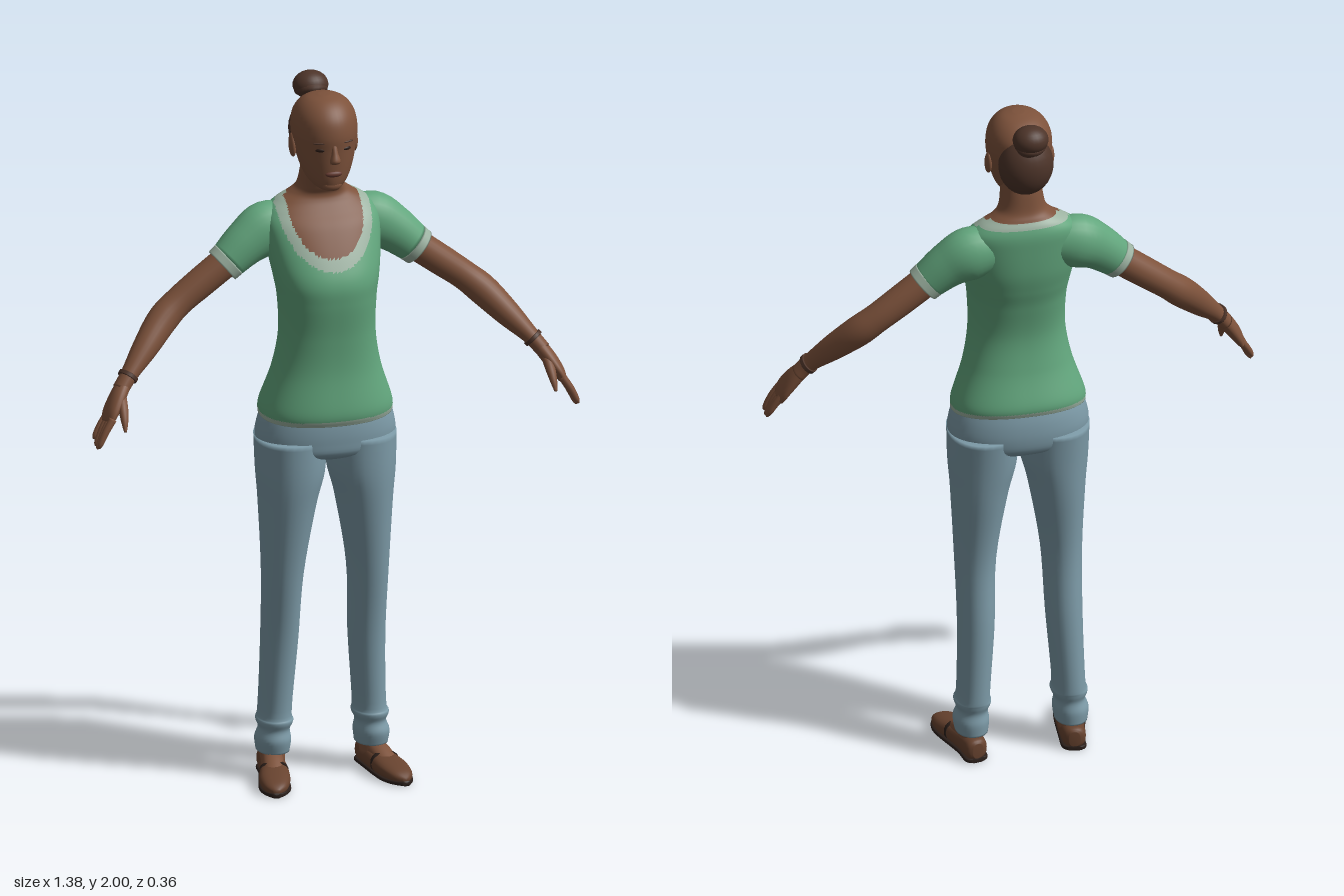
import * as THREE from 'three';

const mat = (name, color) => {
  const m = new THREE.MeshStandardMaterial({ color });
  m.name = name;
  return m;
};
const skin = mat('skin', 0x7d523b);
const shirt = mat('shirt green', 0x62a67d);
const trim = mat('shirt trim', 0x9db3a2);
const denim = mat('trousers blue', 0x7d9ba8);
const hair = mat('hair', 0x4d3429);
const leather = mat('shoe leather', 0x68432f);
const sole = mat('sole', 0x2c201b);
const eyeDark = mat('eye dark', 0x2a1a14);
const lip = mat('lips', 0x653a30);

const Y = new THREE.Vector3(0, 1, 0), Z = new THREE.Vector3(0, 0, 1);

// Uniform Catmull-Rom through rows of numbers
function smooth(rows, sub) {
  const out = [], last = rows.length - 1;
  for (let i = 0; i < last; i++) {
    const [a, b, c, d] = [rows[Math.max(i - 1, 0)], rows[i], rows[i + 1], rows[Math.min(i + 2, last)]];
    for (let k = 0; k < sub; k++) {
      const t = k / sub;
      out.push(b.map((v, j) => {
        const cubic = 3 * (v - c[j]) + d[j] - a[j];
        const square = 2 * a[j] - 5 * v + 4 * c[j] - d[j];
        return v + 0.5 * t * (c[j] - a[j] + t * (square + t * cubic));
      }));
    }
  }
  out.push(rows[last]);
  return out;
}

// Rounded body swept through rows [x, y, z, sideRadius, refRadius]
function sweep(name, mats, rows, { axis, ref = Z, seg = 24, sub = 5, power = 2, paint, tweak } = {}) {
  const path = smooth(rows, sub), pos = [], p = new THREE.Vector3();
  const at = i => new THREE.Vector3(...path[Math.max(0, Math.min(path.length - 1, i))].slice(0, 3));
  const bend = v => Math.sign(v) * Math.abs(v) ** (2 / power);
  path.forEach(([x, y, z, ra, rb], i) => {
    const t = axis ? axis.clone().normalize() : at(i + 1).sub(at(i - 1)).normalize();
    const b = ref.clone().addScaledVector(t, -ref.dot(t)).normalize();
    const a = t.clone().cross(b);
    for (let j = 0; j < seg; j++) {
      const w = j / seg * Math.PI * 2;
      p.set(x, y, z).addScaledVector(a, bend(Math.cos(w)) * Math.max(ra, 0.001))
        .addScaledVector(b, bend(Math.sin(w)) * Math.max(rb, 0.001));
      if (tweak) tweak(p);
      pos.push(p.x, p.y, p.z);
    }
  });
  const end = path.length - 1, c0 = path.length * seg;
  pos.push(...path[0].slice(0, 3), ...path[end].slice(0, 3));
  const list = Array.isArray(mats) ? mats : [mats];
  const buckets = list.map(() => []);
  const tri = (...ids) => {
    const mid = k => ids.reduce((s, q) => s + pos[q * 3 + k], 0) / 3;
    buckets[paint ? paint(mid(0), mid(1), mid(2)) : 0].push(...ids);
  };
  for (let j = 0; j < seg; j++) {
    const k = (j + 1) % seg;
    for (let i = 0; i < end; i++) {
      const q = i * seg;
      tri(q + j, q + seg + j, q + k);
      tri(q + k, q + seg + j, q + seg + k);
    }
    tri(c0, j, k);
    tri(c0 + 1, end * seg + k, end * seg + j);
  }
  const g = new THREE.BufferGeometry();
  g.setAttribute('position', new THREE.Float32BufferAttribute(pos, 3));
  g.setIndex(buckets.flat());
  g.computeVertexNormals();
  if (Array.isArray(mats)) {
    let start = 0;
    buckets.forEach((b, i) => { g.addGroup(start, b.length, i); start += b.length; });
  }
  const mesh = new THREE.Mesh(g, mats);
  mesh.name = name;
  return mesh;
}

// Upright rows [y, halfWidth, frontZ, backZ], listed from the bottom, to sweep rows
const upright = rows => rows.map(([y, w, f, b]) => [0, y, (f + b) / 2, w, (f - b) / 2]);

function ball(name, material, at, size) {
  const m = new THREE.Mesh(new THREE.SphereGeometry(1, 24, 16), material);
  m.name = name;
  m.position.set(...at);
  m.scale.set(...size);
  return m;
}

// Scoop neckline: 0 shirt, 1 trim, 2 bare skin
function neckline(x, y, z) {
  if (y < 1.078 - z * 0.1) return 1;
  if (z < -0.05) return y > 1.683 ? 2 : y > 1.664 ? 1 : 0;
  const s = Math.hypot(x / 0.105, Math.min(0, y - 1.65) / 0.12);
  return s < 1 ? 2 : s < 1.27 ? 1 : 0;
}

export function createModel() {
  const model = new THREE.Group();
  model.name = 'woman';

  // Torso with shirt, chest and neck
  model.add(sweep('torso', [shirt, trim, skin], upright([
    [1.065, 0.188, 0.13, -0.115], [1.1, 0.185, 0.138, -0.118], [1.2, 0.152, 0.125, -0.09],
    [1.3, 0.135, 0.128, -0.076], [1.4, 0.137, 0.14, -0.09], [1.46, 0.146, 0.14, -0.105],
    [1.52, 0.156, 0.115, -0.117], [1.6, 0.163, 0.067, -0.122], [1.64, 0.153, 0.033, -0.122],
    [1.667, 0.122, 0.012, -0.115], [1.687, 0.086, 0.006, -0.105], [1.71, 0.065, 0.015, -0.095],
    [1.76, 0.056, 0.03, -0.088], [1.8, 0.05, 0.02, -0.08],
  ]), {
    axis: Y, seg: 128, sub: 10, power: 2.3, paint: neckline,
    tweak: p => { if (p.y < 1.2) p.y -= (1.2 - p.y) / 0.14 * p.z * 0.12; },
  }));

  // Head
  model.add(sweep('head', skin, upright([
    [1.718, 0.012, 0.07, 0.03], [1.725, 0.034, 0.087, -0.02], [1.75, 0.057, 0.096, -0.05],
    [1.79, 0.074, 0.101, -0.075], [1.84, 0.086, 0.105, -0.1], [1.88, 0.091, 0.108, -0.112],
    [1.92, 0.087, 0.1, -0.11], [1.95, 0.072, 0.08, -0.088], [1.97, 0.048, 0.052, -0.055],
    [1.979, 0.015, 0.02, -0.015],
  ]), { axis: Y, seg: 40 }));
  model.add(sweep('nose', skin, [
    [0, 1.808, 0.105, 0.012, 0.01], [0, 1.818, 0.112, 0.015, 0.016],
    [0, 1.84, 0.107, 0.009, 0.011], [0, 1.862, 0.1, 0.007, 0.006],
  ], { axis: Y, seg: 12 }));
  model.add(ball('lips', lip, [0, 1.775, 0.096], [0.024, 0.009, 0.009]));
  model.add(ball('chin', skin, [0, 1.738, 0.078], [0.028, 0.018, 0.016]));

  // Gathered hair and bun
  model.add(ball('backHair', hair, [0, 1.855, -0.083], [0.077, 0.088, 0.065]));
  model.add(ball('hairRoot', hair, [0, 1.92, -0.11], [0.035, 0.035, 0.03]));
  model.add(ball('bun', hair, [0, 1.96, -0.135], [0.05, 0.04, 0.045]));
  const coil = new THREE.Mesh(new THREE.TorusGeometry(0.034, 0.013, 10, 28), hair);
  coil.name = 'bunCoil';
  coil.rotation.x = Math.PI / 2 - 0.4;
  coil.position.set(0, 1.948, -0.13);
  model.add(coil);

  // Hips
  model.add(sweep('hips', denim, upright([
    [0.935, 0.13, 0.07, -0.07], [0.96, 0.185, 0.122, -0.106], [1.0, 0.198, 0.131, -0.116],
    [1.05, 0.19, 0.13, -0.113], [1.1, 0.172, 0.12, -0.1],
  ]), { axis: Y, seg: 48, power: 2.2 }));

  for (const s of [1, -1]) {
    const side = new THREE.Group();
    side.name = s > 0 ? 'leftSide' : 'rightSide';
    const flip = rows => rows.map(([x, ...rest]) => [x * s, ...rest]);
    const add = (name, m, rows, o) => side.add(sweep(name, m, flip(rows), o));

    // Face details
    const eye = ball('eye', eyeDark, [s * 0.038, 1.846, 0.0935], [0.014, 0.005, 0.004]);
    const brow = ball('brow', hair, [s * 0.04, 1.866, 0.0945], [0.019, 0.003, 0.004]);
    eye.rotation.y = brow.rotation.y = s * 0.4;
    const ear = ball('ear', skin, [s * 0.088, 1.835, -0.01], [0.01, 0.034, 0.02]);
    ear.rotation.x = -0.2;
    side.add(eye, brow, ear);

    // Sleeve and cuff
    add('sleeve', shirt, [
      [0.08, 1.59, -0.055, 0.06, 0.05], [0.15, 1.582, -0.055, 0.078, 0.062],
      [0.21, 1.55, -0.046, 0.066, 0.056], [0.265, 1.505, -0.038, 0.055, 0.049],
    ]);
    add('sleeveCuff', trim, [
      [0.262, 1.508, -0.038, 0.056, 0.05], [0.282, 1.491, -0.037, 0.054, 0.049],
    ]);

    // Arm, bracelet and hand
    add('arm', skin, [
      [0.25, 1.518, -0.037, 0.044, 0.042], [0.34, 1.452, -0.035, 0.043, 0.042],
      [0.41, 1.4, -0.03, 0.041, 0.041], [0.46, 1.357, -0.015, 0.043, 0.042],
      [0.52, 1.295, 0.024, 0.036, 0.036], [0.575, 1.237, 0.06, 0.024, 0.027],
      [0.605, 1.2, 0.075, 0.022, 0.028],
    ]);
    add('bracelet', hair, [[0.577, 1.235, 0.061, 0.028, 0.031], [0.584, 1.227, 0.065, 0.028, 0.031]]);
    add('palm', skin, [
      [0.595, 1.212, 0.07, 0.02, 0.025], [0.618, 1.18, 0.086, 0.021, 0.035],
      [0.64, 1.145, 0.1, 0.018, 0.041], [0.652, 1.12, 0.107, 0.012, 0.038],
    ]);
    for (let i = 0; i < 4; i++) {
      const z = 0.08 + i * 0.018, drop = [0.018, 0.004, 0, 0.008][i];
      add('finger', skin, [
        [0.644, 1.135, z, 0.011, 0.011], [0.666, 1.098 + drop / 2, z + 0.006, 0.01, 0.01],
        [0.682, 1.062 + drop, z + 0.01, 0.008, 0.008], [0.687, 1.05 + drop, z + 0.011, 0.003, 0.003],
      ], { seg: 10 });
    }
    add('thumb', skin, [
      [0.608, 1.19, 0.09, 0.014, 0.014], [0.612, 1.16, 0.125, 0.014, 0.014],
      [0.615, 1.13, 0.15, 0.01, 0.01], [0.617, 1.105, 0.164, 0.004, 0.004],
    ], { seg: 12, ref: new THREE.Vector3(1, 0, 0) });

    // Trouser leg with gathered hem: [y, innerX, outerX, frontZ, backZ]
    add('trouserLeg', denim, [
      [0.075, 0.096, 0.186, 0.034, -0.084], [0.11, 0.092, 0.19, 0.042, -0.086],
      [0.14, 0.096, 0.18, 0.036, -0.08], [0.165, 0.086, 0.188, 0.044, -0.086],
      [0.2, 0.09, 0.18, 0.04, -0.088], [0.4, 0.075, 0.175, 0.056, -0.083],
      [0.6, 0.066, 0.178, 0.087, -0.073], [0.8, 0.033, 0.187, 0.117, -0.095],
      [0.9, 0.008, 0.195, 0.128, -0.105], [1.0, 0.003, 0.198, 0.13, -0.115],
    ].map(([y, i, o, f, b]) => [(i + o) / 2, y, (f + b) / 2, (o - i) / 2, (f - b) / 2]),
    { axis: Y, seg: 32, power: 2.15 });

    // Foot, shoe and sole
    add('ankle', skin, [
      [0.142, 0.04, -0.02, 0.034, 0.045], [0.142, 0.12, -0.025, 0.034, 0.042],
    ], { axis: Y });
    const along = new THREE.Vector3(s * 0.2, 0, 1);
    add('instep', skin, [
      [0.143, 0.06, -0.03, 0.028, 0.03], [0.155, 0.052, 0.03, 0.03, 0.025], [0.167, 0.036, 0.085, 0.025, 0.015],
    ], { axis: along, ref: Y });
    add('shoe', leather, [
      [0.137, 0.035, -0.09, 0.015, 0.022], [0.139, 0.036, -0.075, 0.032, 0.032],
      [0.145, 0.034, -0.02, 0.036, 0.031], [0.156, 0.032, 0.04, 0.04, 0.029],
      [0.17, 0.027, 0.1, 0.043, 0.024], [0.181, 0.021, 0.15, 0.031, 0.017],
      [0.186, 0.016, 0.174, 0.008, 0.007],
    ], { axis: along, ref: Y, power: 2.4 });
    add('sole', sole, [
      [0.137, 0.007, -0.09, 0.018, 0.007], [0.139, 0.007, -0.075, 0.034, 0.007],
      [0.146, 0.007, -0.015, 0.036, 0.007], [0.17, 0.007, 0.1, 0.045, 0.007],
      [0.181, 0.007, 0.15, 0.033, 0.007], [0.187, 0.007, 0.176, 0.01, 0.007],
    ], { axis: along, ref: Y, power: 4 });
    add('strap', sole, [
      [0.157, 0.033, 0.045, 0.041, 0.031], [0.16, 0.0325, 0.056, 0.041, 0.031],
    ], { axis: along, ref: Y, power: 2.4 });
    model.add(side);
  }
  return model;
}
